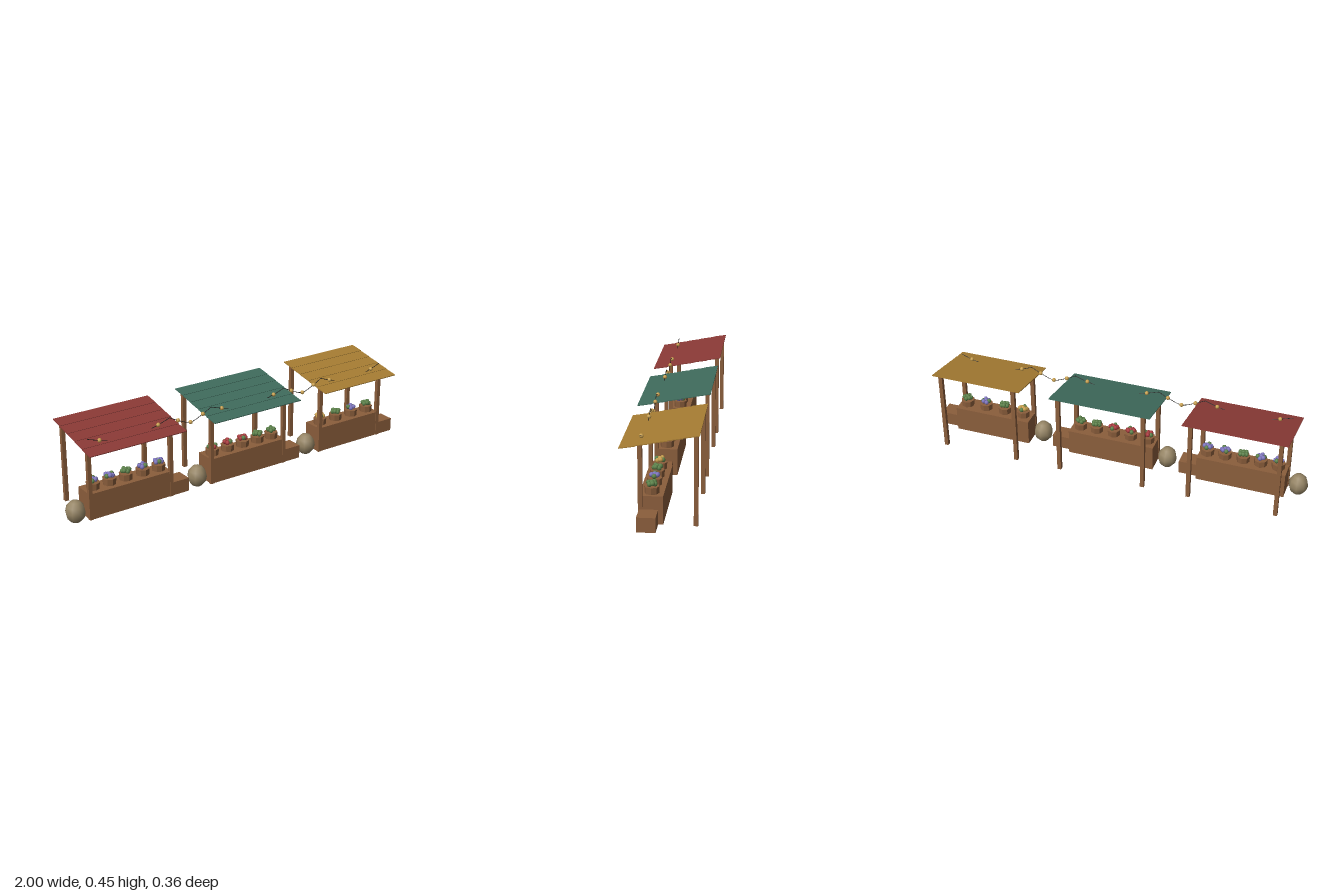
import * as THREE from 'three';

const mat = (name, color, extra = {}) => {
  const m = new THREE.MeshStandardMaterial({ color, ...extra });
  m.name = name;
  return m;
};

export function createModel() {
  const M = {
    wood: mat('wood', 0x8b5e3c),
    sack: mat('sackcloth', 0x968565),
    red: mat('redRoof', 0x8b3a36),
    green: mat('greenRoof', 0x3f6b5c),
    ochre: mat('ochreRoof', 0xa67c32),
    gold: mat('goldBulb', 0xc9a04e),
    wire: mat('wire', 0x1e1c1a),
    leaf: mat('leaf', 0x5a8048),
    purple: mat('purpleBlossom', 0x7d74bd),
    rose: mat('redBlossom', 0xa8383c),
  };
  const root = new THREE.Group();
  root.name = 'marketStalls';

  const add = (parent, name, geo, material, x, y, z) => {
    const m = new THREE.Mesh(geo, material);
    m.name = name;
    m.position.set(x, y, z);
    parent.add(m);
    return m;
  };
  // box given by its limits
  const box = (parent, name, material, x0, x1, y0, y1, z0, z1) =>
    add(parent, name, new THREE.BoxGeometry(x1 - x0, y1 - y0, z1 - z0), material,
      (x0 + x1) / 2, (y0 + y1) / 2, (z0 + z1) / 2);

  const potGeo = new THREE.CylinderGeometry(0.035, 0.033, 0.033, 8).toNonIndexed();
  potGeo.computeVertexNormals();
  const blossomGeo = new THREE.SphereGeometry(0.012, 7, 5);
  const sackGeo = new THREE.SphereGeometry(1, 8, 6);
  const bulbGeo = new THREE.SphereGeometry(0.0105, 8, 6);

  // flower pot: ring of blossoms and leaves round a centre
  function flowerPot(parent, x, flower, seed) {
    const g = new THREE.Group();
    g.name = 'flowerPot';
    g.position.set(x, 0.147, 0.042);
    parent.add(g);
    add(g, 'pot', potGeo, M.wood, 0, 0.0165, 0);
    for (let i = 0; i < 6; i++) {
      const a = (i / 6) * Math.PI * 2 + seed * 0.7;
      const isLeaf = i % 3 === 2;
      add(g, isLeaf ? 'leaves' : 'blossom', blossomGeo, isLeaf ? M.leaf : flower,
        Math.cos(a) * 0.017, 0.044 + (i % 2) * 0.005, Math.sin(a) * 0.015);
    }
    add(g, 'blossom', blossomGeo, flower, 0, 0.05, 0);
  }

  const stalls = [
    { roof: M.red, counter: [-0.896, -0.438], crate: -0.34, cover: [-0.927, -0.4],
      posts: [-0.89, -0.441], sack: -0.954, pots: [-0.847, -0.757, -0.666, -0.572, -0.481],
      flowers: [M.purple, M.purple, M.leaf, M.purple, M.purple] },
    { roof: M.green, counter: [-0.206, 0.254], crate: 0.355, cover: [-0.238, 0.291],
      posts: [-0.2, 0.249], sack: -0.265, pots: [-0.163, -0.069, 0.024, 0.118, 0.206],
      flowers: [M.rose, M.rose, M.rose, M.leaf, M.leaf] },
    { roof: M.ochre, counter: [0.484, 0.898], crate: 0.997, cover: [0.452, 0.933],
      posts: [0.492, 0.892], sack: 0.426, pots: [0.532, 0.639, 0.746, 0.853],
      flowers: [M.gold, M.leaf, M.purple, M.leaf] },
  ];

  stalls.forEach((s, k) => {
    const g = new THREE.Group();
    g.name = 'stall';
    root.add(g);
    box(g, 'counter', M.wood, ...s.counter, 0.013, 0.147, -0.013, 0.097);
    box(g, 'crate', M.wood, s.counter[1], s.crate, 0.013, 0.083, 0.01, 0.096);

    // posts, taller at the back
    for (const x of s.posts) {
      box(g, 'frontPost', M.wood, x - 0.01, x + 0.01, 0.013, 0.389, 0.08, 0.1);
      box(g, 'backPost', M.wood, x - 0.01, x + 0.01, 0.013, 0.4435, -0.17, -0.15);
    }

    // overlapping roof planks rising to the back
    const [x0, x1] = s.cover;
    for (let i = 0; i < 5; i++) {
      const plank = add(g, 'roofPlank', new THREE.BoxGeometry(x1 - x0, 0.004, 0.073), s.roof,
        (x0 + x1) / 2, 0.3845 + i * 0.0139, 0.143 - i * 0.0712);
      plank.rotation.x = 0.165;
    }

    // round sack beside the counter
    add(g, 'sack', sackGeo, M.sack, s.sack, 0.061, 0.057).scale.set(0.05, 0.058, 0.051);

    s.pots.forEach((x, i) => flowerPot(g, x, s.flowers[i], i + k * 2));
  });

  // string of lights, sagging between neighbouring posts
  const ends = stalls.flatMap((s) => s.posts);
  for (let i = 0; i < ends.length - 1; i++) {
    const a = ends[i], b = ends[i + 1], gap = i % 2 === 1;
    const t = gap ? 0.2 : 0.143;
    const pts = [[0, 0.428], [t, gap ? 0.403 : 0.407], [0.5, 0.377], [1 - t, gap ? 0.403 : 0.407], [1, 0.428]]
      .map(([u, y]) => new THREE.Vector3(a + (b - a) * u, y, 0.09));
    const curve = new THREE.CatmullRomCurve3(pts);
    add(root, 'lightWire', new THREE.TubeGeometry(curve, 20, 0.0016, 5), M.wire, 0, 0, 0);
    for (const p of pts.slice(1, 4)) add(root, 'bulb', bulbGeo, M.gold, p.x, p.y, p.z);
  }
  return root;
}
